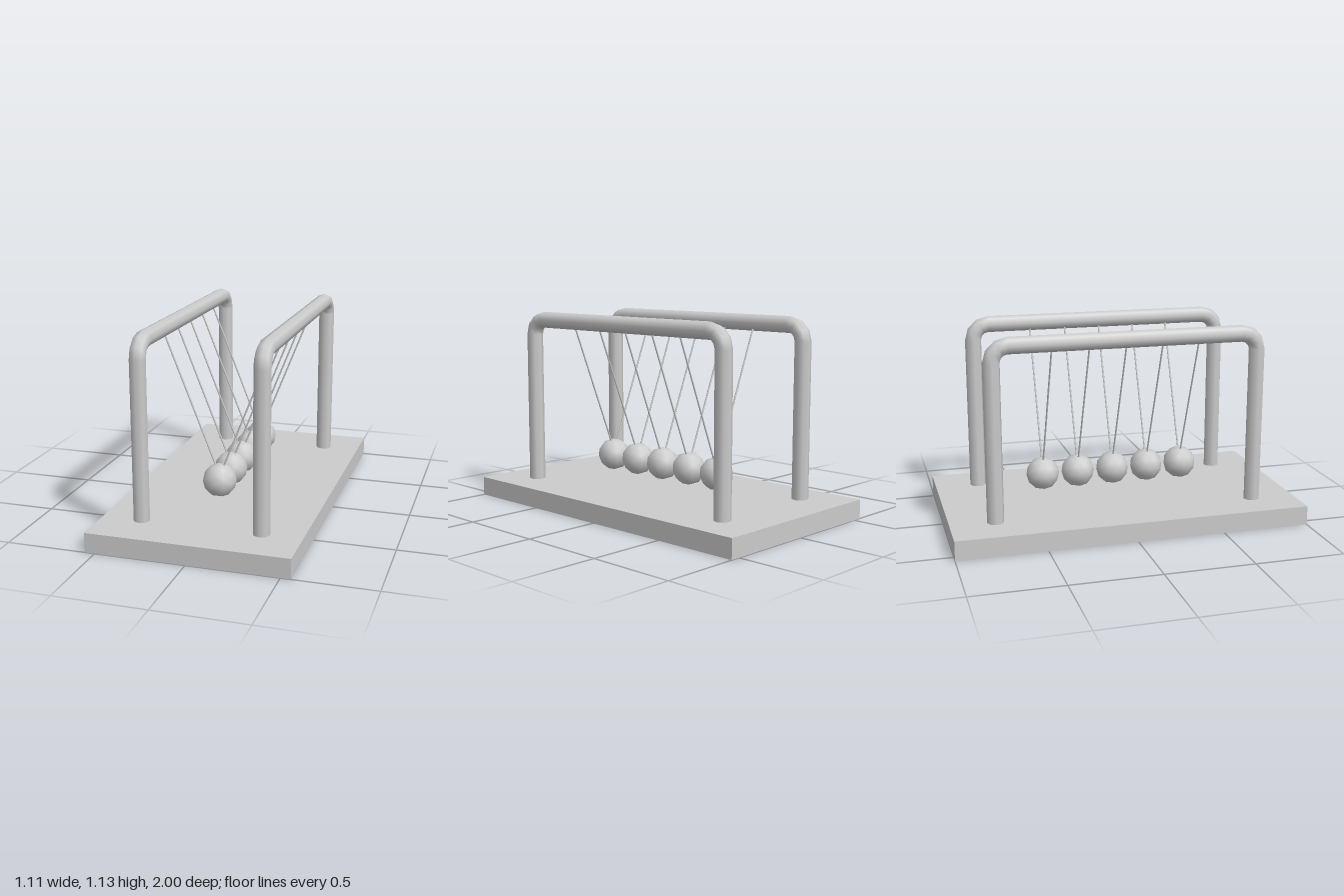
import * as THREE from 'three';

const BASE_TOP = 0.11;
const RAIL_X = 0.333, RAIL_Y = 1.083, LEG_Z = 0.748;
const TUBE = 0.047, BEND = 0.09, SIDES = 8;

export function createModel() {
  const model = new THREE.Group();
  const material = new THREE.MeshStandardMaterial({ color: 0xcccccc });

  function add(parent, name, geometry) {
    const mesh = new THREE.Mesh(geometry, material);
    mesh.name = name;
    parent.add(mesh);
    return mesh;
  }

  // Cylinder running from point a to point b
  function addRod(parent, name, a, b, radius, sides, open) {
    const dir = b.clone().sub(a);
    const rod = add(parent, name, new THREE.CylinderGeometry(radius, radius, dir.length(), sides, 1, open));
    rod.position.copy(a).add(b).multiplyScalar(0.5);
    rod.quaternion.setFromUnitVectors(new THREE.Vector3(0, 1, 0), dir.normalize());
  }

  // Base slab
  add(model, 'base', new THREE.BoxGeometry(1.11, BASE_TOP, 2)).position.y = BASE_TOP / 2;

  // Two bent-tube frames: legs, rounded corners and top rail
  const bendY = RAIL_Y - BEND, bendZ = LEG_Z - BEND;
  for (const side of [-1, 1]) {
    const frame = new THREE.Group();
    frame.name = side > 0 ? 'leftFrame' : 'rightFrame';
    frame.position.x = side * RAIL_X;
    model.add(frame);
    addRod(frame, 'rail', new THREE.Vector3(0, RAIL_Y, -bendZ), new THREE.Vector3(0, RAIL_Y, bendZ), TUBE, SIDES, true);
    for (const end of [-1, 1]) {
      addRod(frame, 'leg', new THREE.Vector3(0, BASE_TOP - 0.005, end * LEG_Z),
        new THREE.Vector3(0, bendY, end * LEG_Z), TUBE, SIDES, true);
      const corner = add(frame, 'corner', new THREE.TorusGeometry(BEND, TUBE, SIDES, 3, Math.PI / 2));
      corner.position.set(0, bendY, end * bendZ);
      corner.rotation.y = -end * Math.PI / 2;
    }
  }

  // Five balls, each hung on a V of two strings
  for (let i = -2; i <= 2; i++) {
    const pendulum = new THREE.Group();
    pendulum.name = 'pendulum';
    pendulum.position.z = i * 0.208;
    model.add(pendulum);
    add(pendulum, 'ball', new THREE.IcosahedronGeometry(0.096, 1)).position.y = 0.257;
    for (const side of [-1, 1]) {
      addRod(pendulum, 'string', new THREE.Vector3(side * 0.02, 0.332, 0),
        new THREE.Vector3(side * 0.31, 1.063, 0), 0.005, 6, false);
    }
  }

  return model;
}
